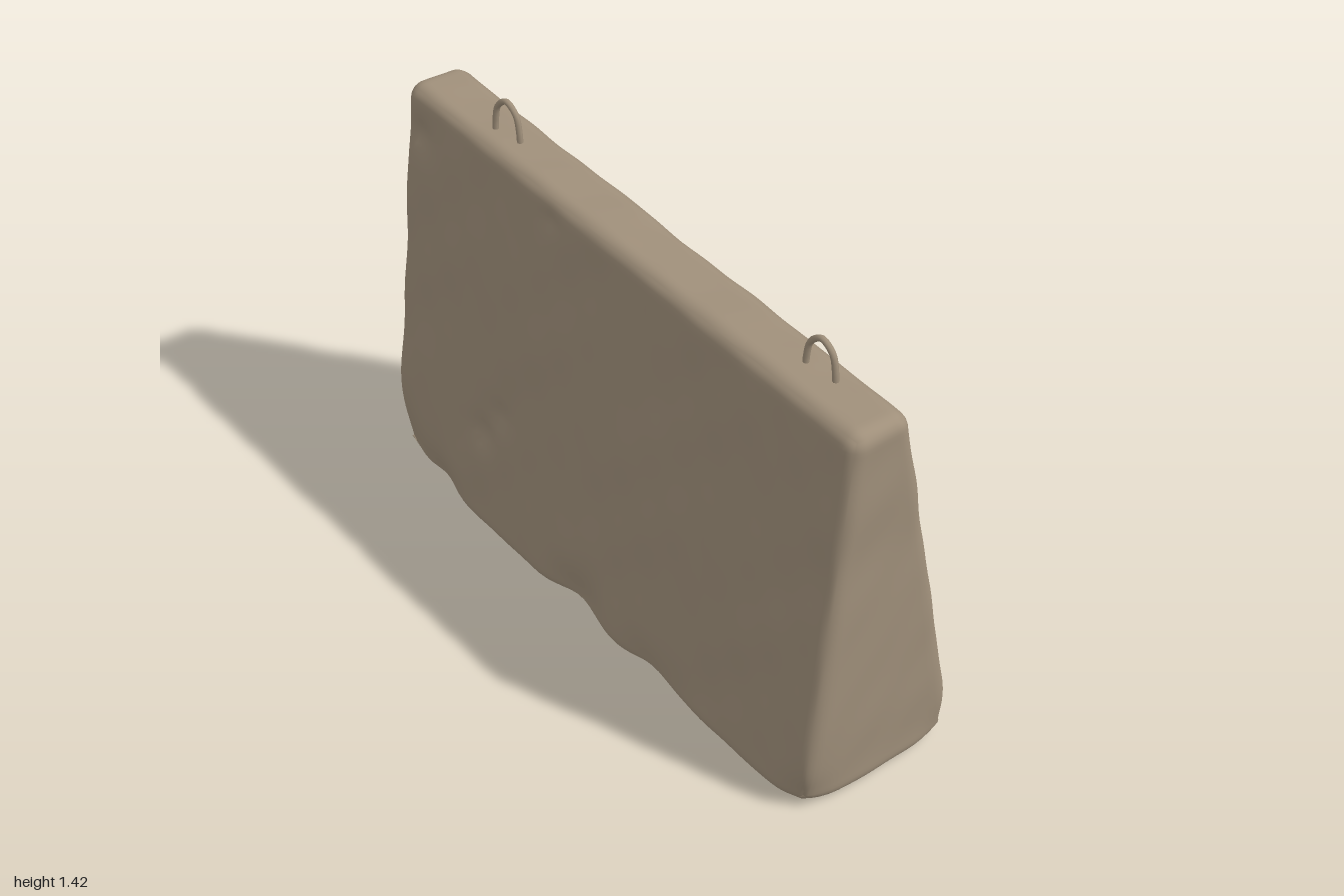
import * as THREE from 'three';
import { mergeVertices } from 'three/addons/utils/BufferGeometryUtils.js';

const { lerp, clamp } = THREE.MathUtils;

// Dents and chips: x, y, z, radius, depth (pushed toward the core of the block)
const DENTS = [
  [-1.0, 0.0, 0.27, 0.15, 0.06], [-0.75, 0.02, 0.27, 0.09, 0.035],
  [-0.05, 0.03, 0.28, 0.11, 0.035], [0.3, 0.0, 0.28, 0.1, 0.025],
  [0.97, 0.02, 0.27, 0.08, 0.03], [0.95, 0.02, -0.28, 0.1, 0.03],
  [-0.95, 0.02, -0.28, 0.1, 0.03], [-0.4, 0.0, -0.28, 0.09, 0.03],
  [0.35, 0.0, -0.28, 0.1, 0.025], [-0.53, 0.35, 0.25, 0.05, 0.018],
  [-0.45, 0.46, 0.24, 0.04, 0.014], [-0.88, 1.18, 0.18, 0.05, 0.018],
  [0.75, 1.13, 0.0, 0.09, 0.018], [-0.25, 1.22, 0.17, 0.03, 0.01],
];

// Smooth layered waves for the uneven cast surface
function ripple(x, y, z) {
  return 0.0035 * Math.sin(5.3 * x + 3.1 * y + 2 * z + 0.7) * Math.cos(6.1 * y - 2.3 * x)
    + 0.0025 * Math.sin(13 * x - 7 * y + 9 * z) * Math.sin(11 * y + 8 * z + 1.3)
    + 0.0015 * Math.sin(29 * x + 17 * z) * Math.sin(23 * y + 19 * z + 5 * x);
}

// Tapered, rounded slab with a sloping top
function blockGeometry() {
  let geo = new THREE.BoxGeometry(2, 2, 2, 84, 56, 20);
  geo.deleteAttribute('uv');
  geo.deleteAttribute('normal');
  geo = mergeVertices(geo);
  const pos = geo.attributes.position;
  const p = new THREE.Vector3(), core = new THREE.Vector3(), n = new THREE.Vector3();
  const r = 0.045;
  // crowd grid lines toward the edges so the rounding stays smooth
  const spread = (u, k) => lerp(u, Math.sin(u * Math.PI / 2), k);
  for (let i = 0; i < pos.count; i++) {
    p.fromBufferAttribute(pos, i);
    const u = spread(p.x, 0.6), v = spread(p.y, 0.6), w = spread(p.z, 0.5);
    const t = (v + 1) / 2;
    const left = lerp(-1.0, -0.945, t), right = lerp(0.975, 0.995, t);
    const front = lerp(0.272, 0.17, t), back = lerp(-0.28, -0.018, t);
    const x = lerp(left, right, (u + 1) / 2);
    const z = lerp(back, front, (w + 1) / 2);
    const top = 1.288 - 0.036 * x, bottom = 0.008;
    const y = lerp(bottom, top, t);
    core.set(clamp(x, left + r, right - r), clamp(y, bottom + r, top - r), clamp(z, back + r, front - r));
    n.set(x, y, z).sub(core).normalize();
    p.copy(core).addScaledVector(n, r + ripple(x, y, z));
    for (const [dx, dy, dz, size, depth] of DENTS) {
      const d2 = (x - dx) ** 2 + (y - dy) ** 2 + (z - dz) ** 2;
      p.addScaledVector(n, -depth * Math.exp(-d2 / (size * size)));
    }
    p.y = Math.max(p.y, 0);
    pos.setXYZ(i, p.x, p.y, p.z);
  }
  geo.computeVertexNormals();
  return geo;
}

// Bent-rod lifting eye with its ends sunk in the block
function liftingLoop(material, x, y, z, height) {
  const path = new THREE.CatmullRomCurve3([
    [-0.051, -0.04], [-0.048, height * 0.3], [-0.036, height * 0.75], [0, height],
    [0.036, height * 0.75], [0.048, height * 0.3], [0.051, -0.04],
  ].map(([a, b]) => new THREE.Vector3(a, b, 0)));
  const loop = new THREE.Mesh(new THREE.TubeGeometry(path, 28, 0.009, 8), material);
  loop.position.set(x, y, z);
  loop.rotation.y = 0.12;
  return loop;
}

export function createModel() {
  const concrete = new THREE.MeshStandardMaterial({ color: 0x9f8f7a });
  concrete.name = 'weathered concrete';
  const group = new THREE.Group();
  group.name = 'concreteBarrier';

  const block = new THREE.Mesh(blockGeometry(), concrete);
  block.name = 'block';
  group.add(block);

  const rightLoop = liftingLoop(concrete, -0.56, 1.305, 0.09, 0.107);
  rightLoop.name = 'rightLiftingLoop';
  const leftLoop = liftingLoop(concrete, 0.735, 1.258, 0.06, 0.105);
  leftLoop.name = 'leftLiftingLoop';
  group.add(rightLoop, leftLoop);
  return group;
}
